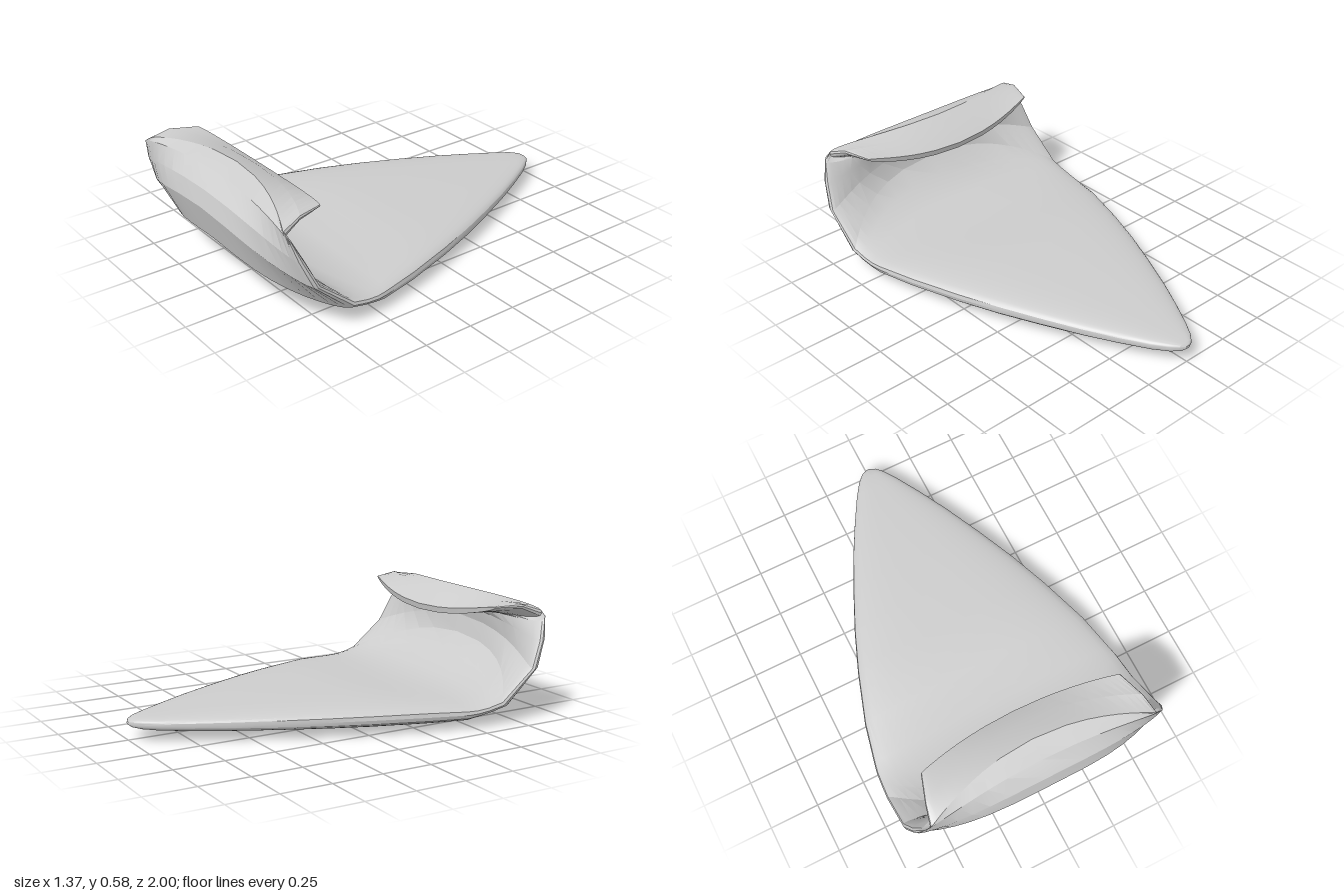
import * as THREE from 'three';
import { toCreasedNormals } from 'three/addons/utils/BufferGeometryUtils.js';

// Stations from tail to curled lip:
// [outer z, outer y, inner z, inner y, half width, forward shift of sides, lift of sides]
const PLATE = [
  [-1, 0.075, -1, 0.09, 0.012, 0, 0],
  [-0.985, 0.064, -0.985, 0.1, 0.042, 0, 0],
  [-0.95, 0.055, -0.95, 0.107, 0.075, 0, 0],
  [-0.88, 0.046, -0.88, 0.112, 0.122, 0, 0],
  [-0.75, 0.038, -0.75, 0.12, 0.196, 0, 0],
  [-0.6, 0.031, -0.6, 0.128, 0.275, 0, 0],
  [-0.4, 0.024, -0.4, 0.136, 0.37, 0, 0],
  [-0.2, 0.018, -0.2, 0.142, 0.458, 0, 0],
  [0, 0.014, 0, 0.145, 0.535, 0, 0],
  [0.27, 0.01, 0.25, 0.145, 0.62, 0, 0],
];
const CURL = [
  [0.47, 0, 0.45, 0.118, 0.665, 0, 0.012],
  [0.7, 0.06, 0.66, 0.15, 0.675, -0.17, -0.03],
  [0.85, 0.145, 0.79, 0.22, 0.68, -0.25, -0.1],
  [0.95, 0.24, 0.87, 0.31, 0.685, -0.26, -0.175],
  [1, 0.41, 0.89, 0.4, 0.683, -0.11, -0.15],
  [0.975, 0.49, 0.875, 0.46, 0.66, -0.03, -0.09],
  [0.9, 0.55, 0.84, 0.48, 0.625, 0.06, -0.03],
  [0.8, 0.58, 0.78, 0.487, 0.59, 0.15, -0.03],
  [0.7, 0.54, 0.7, 0.475, 0.565, 0.14, 0.035],
  [0.622, 0.485, 0.628, 0.455, 0.52, 0.08, 0.07],
];
const SIDES = 40;

const soften = (v) => Math.sign(v) * Math.pow(Math.abs(v), 0.67);

// Loft rounded, flattened sections along the curled profile and close both ends
function loft(stations) {
  const pos = [];
  const index = [];
  for (const [zo, yo, zi, yi, w, dz, dy] of stations) {
    // Sides that sweep back do so mostly near the corners
    const bend = dz < 0 ? 3 : 2;
    for (let j = 0; j < SIDES; j++) {
      const a = (j / SIDES) * Math.PI * 2;
      const u = soften(Math.cos(a));
      const t = (soften(Math.sin(a)) + 1) / 2;
      pos.push(
        w * u,
        yo + (yi - yo) * t + dy * u * u,
        zo + (zi - zo) * t + dz * Math.pow(Math.abs(u), bend),
      );
    }
  }
  const last = stations.length - 1;
  for (let i = 0; i < last; i++) {
    for (let j = 0; j < SIDES; j++) {
      const k = (j + 1) % SIDES;
      const a = i * SIDES + j, b = i * SIDES + k;
      index.push(a, b, a + SIDES, b, b + SIDES, a + SIDES);
    }
  }
  // End caps: strips joining the upper and lower halves of the end sections
  const cap = (row, flip) => {
    const at = (j) => row * SIDES + (j % SIDES);
    for (let j = 0; j < SIDES / 2; j++) {
      const q = [at(j), at(j + 1), at(SIDES - j - 1), at(SIDES - j)];
      if (flip) q.reverse();
      index.push(q[0], q[1], q[2], q[0], q[2], q[3]);
    }
  };
  cap(0, true);
  cap(last, false);

  const geo = new THREE.BufferGeometry();
  geo.setAttribute('position', new THREE.Float32BufferAttribute(pos, 3));
  geo.setIndex(index);
  return toCreasedNormals(geo, 0.4);
}

export function createModel() {
  const group = new THREE.Group();
  group.name = 'curledPlate';
  const grey = new THREE.MeshStandardMaterial({ color: 0xcccccc });
  grey.name = 'light grey';

  // Pointed flat blade running into a rolled-over scoop at the front
  const body = new THREE.Mesh(loft([...PLATE, ...CURL]), grey);
  body.name = 'bladeWithCurledFront';
  group.add(body);
  return group;
}
